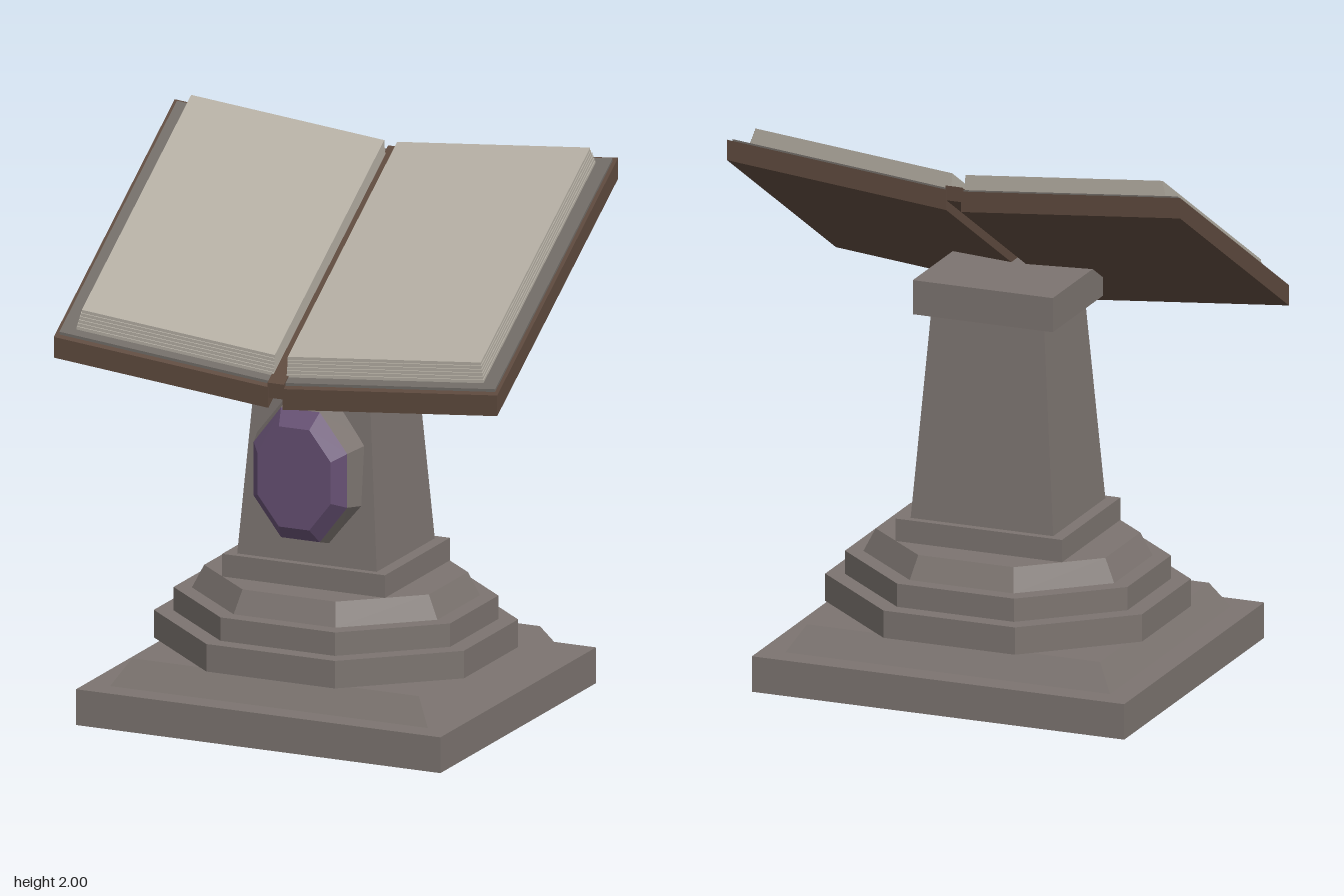
import * as THREE from 'three';

const material = (name, color) => {
  const m = new THREE.MeshStandardMaterial({ color, flatShading: true });
  m.name = name;
  return m;
};

// Prism with n sides whose flats face the axes; b and t are the half sizes at both ends
function prism(n, y0, y1, b, t = b) {
  const r = 1 / Math.cos(Math.PI / n);
  const g = new THREE.CylinderGeometry(r, r, 1, n).rotateY(Math.PI / n);
  const p = g.attributes.position;
  for (let i = 0; i < p.count; i++) {
    const k = p.getY(i) + 0.5;
    p.setXYZ(i,
      p.getX(i) * THREE.MathUtils.lerp(b[0], t[0], k),
      THREE.MathUtils.lerp(y0, y1, k),
      p.getZ(i) * THREE.MathUtils.lerp(b[1], t[1], k));
  }
  g.computeVertexNormals();
  return g;
}

// Box sheared onto the sloping, V-shaped plane of the open book
function slab(x0, x1, low, high, halfZ) {
  const g = new THREE.BoxGeometry(Math.abs(x1 - x0), high - low, halfZ * 2);
  g.translate((x0 + x1) / 2, (low + high) / 2, 0);
  const p = g.attributes.position;
  for (let i = 0; i < p.count; i++) {
    p.setY(i, p.getY(i) + 1.502 + 0.096 * Math.abs(p.getX(i)) - 0.622 * p.getZ(i));
  }
  g.computeVertexNormals();
  return g;
}

export function createModel() {
  const stone = material('stone', 0x7c7470);
  const leather = material('cover leather', 0x5e4a3e);
  const liner = material('end paper', 0x716c67);
  const paper = material('paper', 0xb4aea3);
  const violet = material('violet gem', 0x665073);

  const model = new THREE.Group();
  model.name = 'bookLectern';
  const add = (parent, name, geometry, mat) => {
    const mesh = new THREE.Mesh(geometry, mat);
    mesh.name = name;
    parent.add(mesh);
  };

  // Stone pedestal, from the ground up
  const pedestal = new THREE.Group();
  pedestal.name = 'pedestal';
  model.add(pedestal);
  [
    ['baseSlab', 4, 0, 0.13, [0.705, 0.63]],
    ['baseSlope', 4, 0.13, 0.225, [0.615, 0.543], [0.555, 0.49]],
    ['lowerStep', 8, 0.225, 0.325, [0.6, 0.53]],
    ['middleStep', 8, 0.325, 0.41, [0.535, 0.472]],
    ['upperStep', 8, 0.41, 0.493, [0.475, 0.417], [0.435, 0.38]],
    ['plinth', 4, 0.493, 0.575, [0.315, 0.263]],
    ['column', 4, 0.575, 1.32, [0.27, 0.235], [0.214, 0.184]],
    ['capital', 4, 1.32, 1.445, [0.265, 0.227]],
  ].forEach(([name, ...shape]) => add(pedestal, name, prism(...shape), stone));

  // Cut gem in its stone setting on the front of the column
  const jewel = new THREE.Group();
  jewel.name = 'jewel';
  jewel.position.y = 0.908;
  model.add(jewel);
  add(jewel, 'gemSetting', prism(8, 0.17, 0.288, [0.218, 0.272], [0.181, 0.236]).rotateX(Math.PI / 2), stone);
  add(jewel, 'gem', prism(8, 0.288, 0.34, [0.181, 0.236], [0.142, 0.182]).rotateX(Math.PI / 2), violet);

  // Open book
  const book = new THREE.Group();
  book.name = 'openBook';
  model.add(book);
  add(book, 'spine', slab(-0.032, 0.032, 0.036, 0.09, 0.489), leather);
  for (const [side, s] of [['left', 1], ['right', -1]]) {
    add(book, side + 'Cover', slab(s * 0.028, s * 0.858, 0, 0.075, 0.49), leather);
    add(book, side + 'EndPaper', slab(s * 0.028, s * 0.843, 0.075, 0.085, 0.476), liner);
    // Stacked leaves, each a little smaller than the one below
    for (let i = 0; i < 6; i++) {
      const y = 0.085 + i * 0.011;
      add(book, side + 'Leaf' + (i + 1),
        slab(s * 0.025, s * (0.787 - i * 0.003), y, y + 0.011, 0.453 - i * 0.002), paper);
    }
  }
  return model;
}
